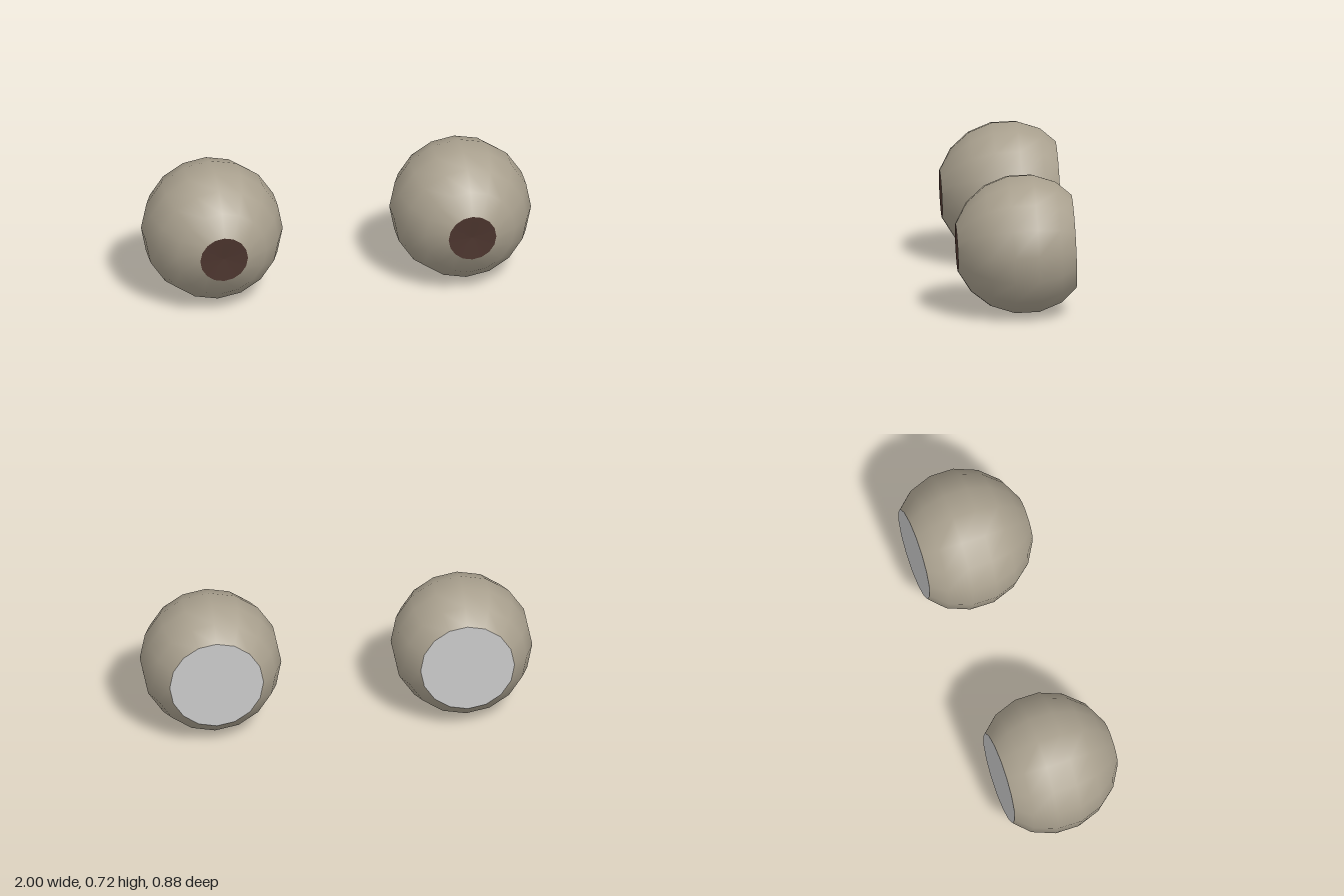
import * as THREE from 'three';

const R = 0.363;
const SIDES = 16;

function material(name, color) {
  const m = new THREE.MeshStandardMaterial({ color });
  m.name = name;
  return m;
}

// Lathe turned so that its axis points forwards (+z); points run back to front
function turned(name, points, mat) {
  const geo = new THREE.LatheGeometry(points.map(([r, z]) => new THREE.Vector2(r, z)), SIDES);
  geo.rotateX(Math.PI / 2);
  const mesh = new THREE.Mesh(geo, mat);
  mesh.name = name;
  return mesh;
}

export function createModel() {
  const shellMat = material('warm grey', 0xa9a08e);
  const irisMat = material('dark brown', 0x4c352e);
  const backMat = material('light grey', 0xc8c8c8);

  // Ball profile in even 20 degree bands, cut off flat at the back
  const profile = [[0.242, -0.26]];
  for (let deg = 120; deg >= 20; deg -= 20) {
    const a = THREE.MathUtils.degToRad(deg);
    profile.push([R * Math.sin(a), R * Math.cos(a)]);
  }
  const [irisR, irisZ] = profile[profile.length - 1];

  function eye(name, x, z) {
    const g = new THREE.Group();
    g.name = name;
    g.add(turned('eyeball', profile, shellMat));
    // Shallow dished iris
    g.add(turned('iris', [[irisR, irisZ], [0.055, irisZ - 0.004], [0, irisZ - 0.008]], irisMat));
    // Flat disc closing the back
    g.add(turned('backDisc', [[0, -0.26], [0.242, -0.26]], backMat));
    // Both eyes look slightly down and to the right
    g.rotation.set(THREE.MathUtils.degToRad(2.5), THREE.MathUtils.degToRad(-10), 0, 'YXZ');
    g.position.set(x, 0.361, z);
    return g;
  }

  const model = new THREE.Group();
  model.name = 'eyes';
  model.add(eye('rightEye', -0.638, -0.14), eye('leftEye', 0.638, 0.08));
  return model;
}
